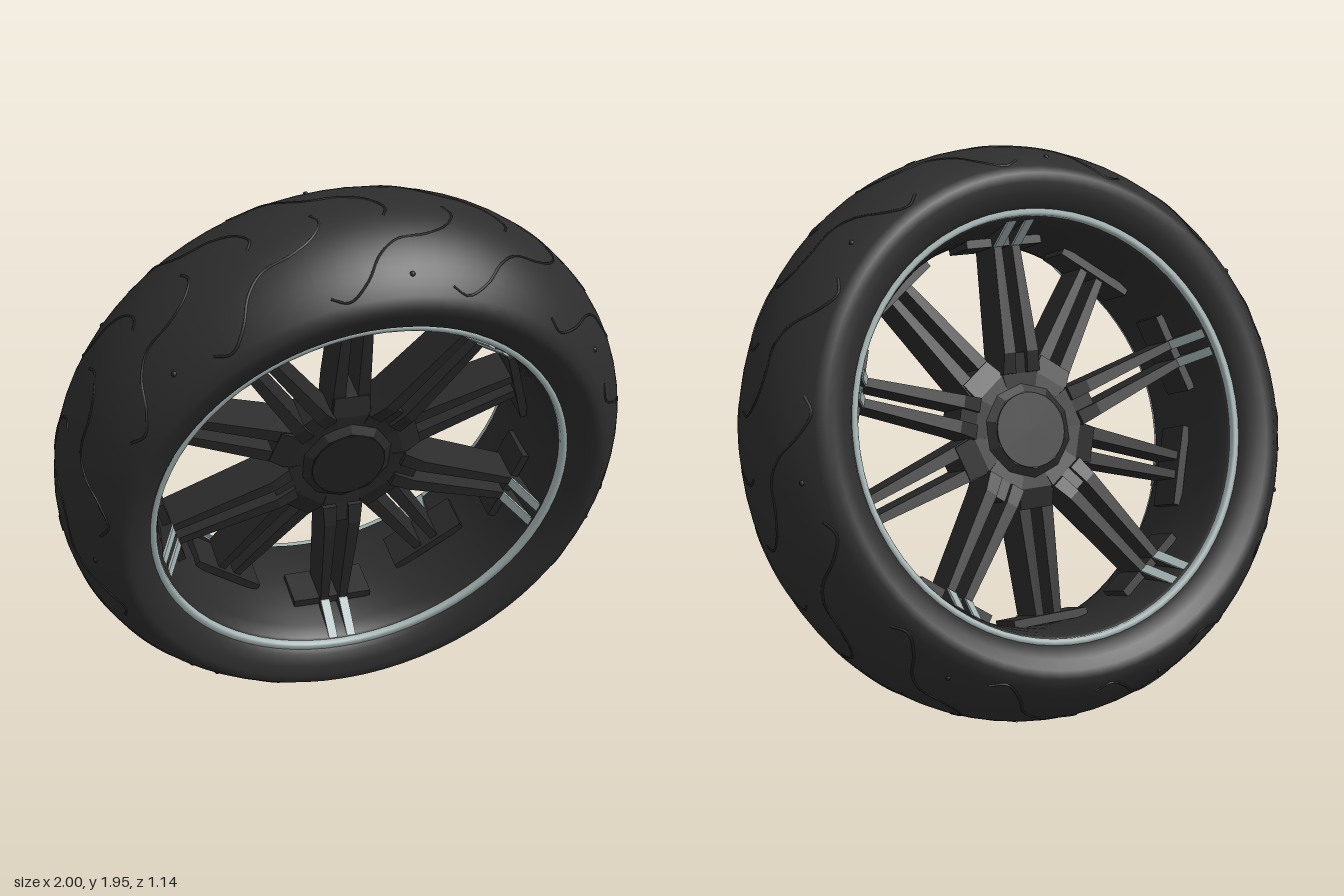
import * as THREE from 'three';

const rubber = new THREE.MeshStandardMaterial({ color: 0x2d2d2d });
const groove = new THREE.MeshStandardMaterial({ color: 0x222222 });
const rimPaint = new THREE.MeshStandardMaterial({ color: 0x2b2b2b, side: THREE.DoubleSide });
const spokePaint = new THREE.MeshStandardMaterial({ color: 0x292929, flatShading: true });
const hubPaint = new THREE.MeshStandardMaterial({ color: 0x242424 });
const metal = new THREE.MeshStandardMaterial({ color: 0xa3b3b2, side: THREE.DoubleSide });

const DEG = Math.PI / 180;

function add(parent, name, geometry, material) {
  const mesh = new THREE.Mesh(geometry, material);
  mesh.name = name;
  parent.add(mesh);
  return mesh;
}

// Revolve [radius, axial] points around the wheel axis (z)
function revolve(points, segments = 72) {
  const g = new THREE.LatheGeometry(points.map(([r, d]) => new THREE.Vector2(r, d)), segments);
  return g.rotateX(Math.PI / 2);
}

// Loft rectangles [r, d0, d1, t0, t1] along the radius: x = r, y = t, z = d
function loft(stations) {
  const pos = [], idx = [], last = (stations.length - 1) * 4;
  for (const [r, d0, d1, t0, t1] of stations) pos.push(r, t0, d0, r, t1, d0, r, t1, d1, r, t0, d1);
  for (let i = 0; i < last; i += 4) {
    for (let j = 0; j < 4; j++) {
      const a = i + j, b = i + (j + 1) % 4;
      idx.push(a, b, b + 4, a, b + 4, a + 4);
    }
  }
  idx.push(0, 2, 1, 0, 3, 2, last, last + 1, last + 2, last, last + 2, last + 3);
  const g = new THREE.BufferGeometry();
  g.setAttribute('position', new THREE.Float32BufferAttribute(pos, 3));
  g.setIndex(idx);
  const flat = g.toNonIndexed();
  flat.computeVertexNormals();
  return flat;
}

// Rounded crown of the tread: radius at axial offset d
const CROWN = 0.427;
const treadRadius = (d) => 1 - CROWN + Math.sqrt(CROWN * CROWN - d * d);
const onTread = (angle, d, lift = 0) => {
  const r = treadRadius(d) + lift;
  return new THREE.Vector3(r * Math.cos(angle), r * Math.sin(angle), d);
};

function addTyre(wheel) {
  const half = [[0.725, 0.235], [0.735, 0.262], [0.75, 0.285], [0.785, 0.308], [0.82, 0.321]];
  const profile = half.map(([r, d]) => [r, -d]);
  for (let i = -12; i <= 12; i++) {
    const d = (i / 12) * 0.325;
    profile.push([treadRadius(d), d]);
  }
  profile.push(...half.slice().reverse());
  add(wheel, 'tyre', revolve(profile), rubber);

  // S-shaped tread grooves sweeping from each shoulder to the crown
  const count = 14;
  for (const side of [1, -1]) {
    for (let k = 0; k < count; k++) {
      const start = ((k + (side > 0 ? 0 : 0.5)) / count) * Math.PI * 2;
      const sweep = [[0, 0.27], [-0.06, 0.29], [-0.14, 0.25], [-0.2, 0.18], [-0.27, 0.13],
        [-0.38, 0.11], [-0.46, 0.07], [-0.5, 0.01], [-0.48, -0.03]];
      const path = new THREE.CatmullRomCurve3(sweep.map(([a, d]) => onTread(start + a, side * d, -0.002)));
      add(wheel, 'treadGroove', new THREE.TubeGeometry(path, 36, 0.005, 5), groove);
      // Wear marker on every other groove
      if (k % 2 === 0) {
        const dot = add(wheel, 'wearMarker', new THREE.SphereGeometry(0.01, 8, 6), groove);
        dot.position.copy(onTread(start - 0.3, side * 0.24, -0.004));
      }
    }
  }
}

function addRim(wheel) {
  // Barrel, dished slightly toward the middle
  add(wheel, 'rimBarrel', revolve([[0.728, 0.25], [0.708, 0.24], [0.695, 0.19], [0.682, 0.1], [0.676, 0],
    [0.682, -0.1], [0.695, -0.19], [0.708, -0.24], [0.728, -0.25]]), rimPaint);
  // Bright lip on both edges
  for (const s of [1, -1]) {
    add(wheel, 'rimLip', revolve([[0.716, s * 0.245], [0.716, s * 0.264], [0.724, s * 0.268],
      [0.738, s * 0.268], [0.742, s * 0.25]]), metal);
  }
}

// One forked spoke; side = 1 leans to the front, -1 to the back
function addSpoke(wheel, angle, side) {
  const spoke = new THREE.Group();
  spoke.name = side > 0 ? 'frontSpoke' : 'backSpoke';
  spoke.rotation.z = angle;
  wheel.add(spoke);

  const depth = (s) => (side > 0 ? s : [s[0], -s[2], -s[1], s[3], s[4]]);
  const mirrored = (s, m) => (m > 0 ? s : [s[0], s[1], s[2], -s[4], -s[3]]);

  add(spoke, 'spokeRoot', loft([
    [0.1, -0.07, 0.065, -0.045, 0.045],
    [0.2, -0.07, 0.075, -0.068, 0.068],
    [0.27, -0.05, 0.09, -0.062, 0.062],
  ].map(depth)), spokePaint);

  for (const m of [1, -1]) {
    const build = (list) => loft(list.map((s) => mirrored(depth(s), m)));
    add(spoke, 'spokeBar', build([
      [0.2, -0.05, 0.09, 0.022, 0.072],
      [0.27, -0.045, 0.11, 0.022, 0.066],
      [0.64, -0.02, 0.12, 0.02, 0.05],
      [0.7, 0.0, 0.235, 0.02, 0.048],
    ]), spokePaint);
    // Bright facing on the flared foot
    add(spoke, 'spokeFoot', build([
      [0.637, 0.115, 0.127, 0.018, 0.051],
      [0.703, 0.236, 0.252, 0.018, 0.05],
    ]), metal);
  }

  // Mounting pad against the barrel
  const pad = add(spoke, 'spokePad', new THREE.BoxGeometry(0.03, 0.29, 0.14), spokePaint);
  pad.position.set(0.655, 0, side * 0.035);
}

function addHub(wheel) {
  const body = new THREE.CylinderGeometry(0.19, 0.19, 0.13, 10).rotateX(Math.PI / 2);
  add(wheel, 'hubBody', body, spokePaint);
  const cap = new THREE.CylinderGeometry(0.13, 0.13, 0.19, 40).rotateX(Math.PI / 2);
  add(wheel, 'hubCap', cap, hubPaint);
  for (const s of [1, -1]) {
    const collar = new THREE.CylinderGeometry(0.135, 0.18, 0.03, 10).rotateX(s * Math.PI / 2);
    add(wheel, 'hubCollar', collar, spokePaint).position.z = s * 0.075;
  }
}

export function createModel() {
  const model = new THREE.Group();
  model.name = 'wheel';
  const wheel = new THREE.Group();
  wheel.name = 'tiltedWheel';
  wheel.position.y = 0.97;
  wheel.rotation.x = 18 * DEG;
  model.add(wheel);

  addTyre(wheel);
  addRim(wheel);
  addHub(wheel);
  for (let k = 0; k < 5; k++) {
    addSpoke(wheel, (-90 + 72 * k) * DEG, 1);
    addSpoke(wheel, (90 + 72 * k) * DEG, -1);
  }
  return model;
}
